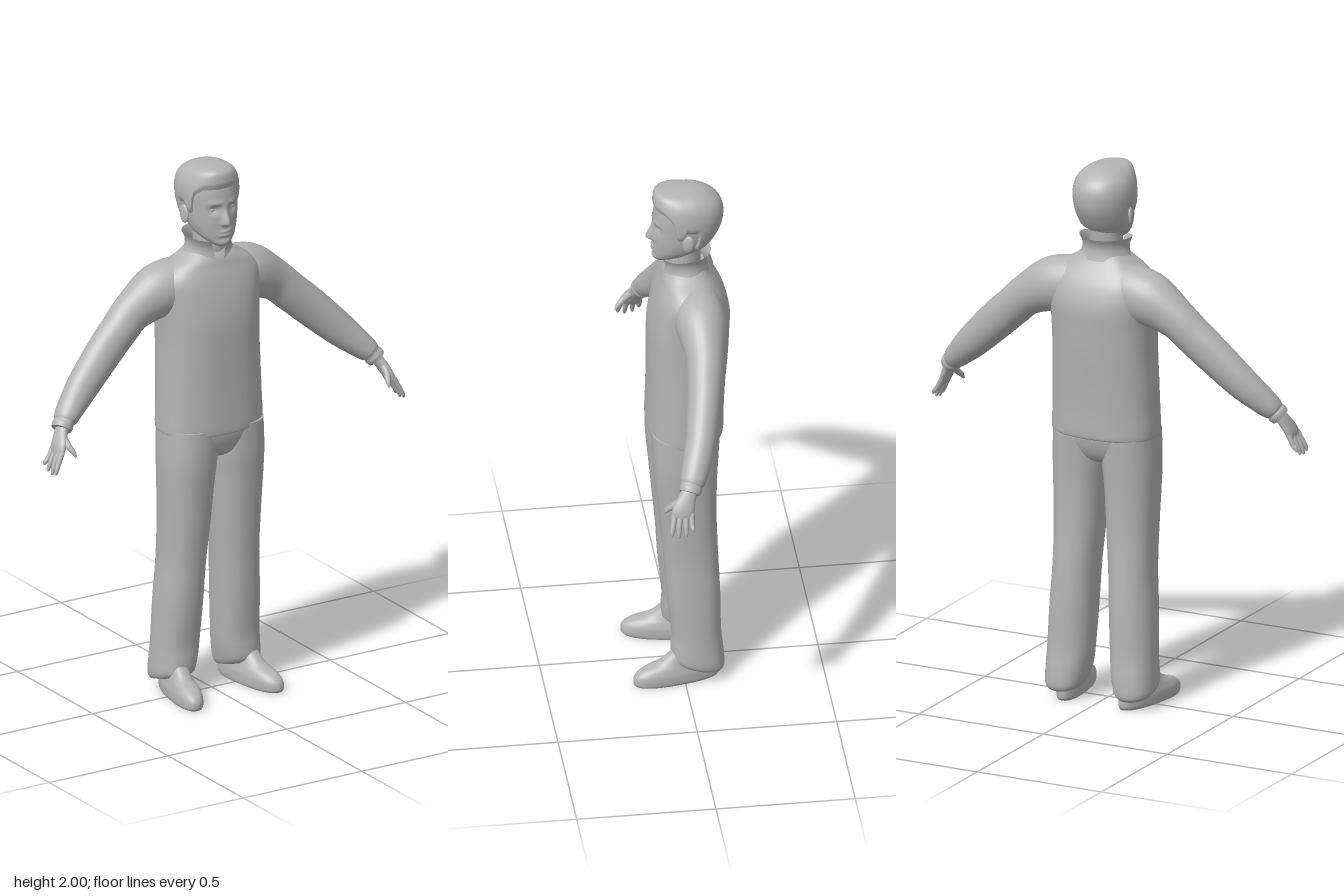
import * as THREE from 'three';

const TAU = Math.PI * 2;
const V3 = (x, y, z) => new THREE.Vector3(x, y, z);

// Smooth interpolation through rows of numbers, t in row units
function sample(rows, t) {
  const n = rows.length - 1, i = Math.min(Math.max(Math.floor(t), 0), n - 1), f = t - i;
  const at = k => rows[Math.min(Math.max(k, 0), n)];
  const [a, b, c, d] = [at(i - 1), at(i), at(i + 1), at(i + 2)];
  return b.map((v, k) => v + 0.5 * f * (c[k] - a[k] + f * (2 * a[k] - 5 * v + 4 * c[k] - d[k]
    + f * (3 * (v - c[k]) + d[k] - a[k]))));
}

// Skin over a grid of points; u runs around, v runs along
function skin(nu, nv, point, { closed = true, caps = true } = {}) {
  const pos = [], index = [], cols = closed ? nu : nu + 1;
  for (let j = 0; j <= nv; j++)
    for (let i = 0; i < cols; i++) pos.push(...point(i / nu, j / nv).toArray());
  for (let j = 0; j < nv; j++)
    for (let i = 0; i < nu; i++) {
      const a = j * cols + i, b = j * cols + (i + 1) % cols, c = b + cols, d = a + cols;
      index.push(a, b, c, a, c, d);
    }
  if (closed && caps) for (const end of [0, nv]) {
    const start = pos.length / 3, mid = V3(0, 0, 0);
    for (let i = 0; i < nu; i++) {
      const p = point(i / nu, end / nv);
      mid.addScaledVector(p, 1 / nu);
      pos.push(...p.toArray());
    }
    pos.push(...mid.toArray());
    for (let i = 0; i < nu; i++) {
      const a = start + i, b = start + (i + 1) % nu;
      index.push(start + nu, ...(end ? [a, b] : [b, a]));
    }
  }
  const g = new THREE.BufferGeometry();
  g.setAttribute('position', new THREE.Float32BufferAttribute(pos, 3));
  g.setIndex(index);
  g.computeVertexNormals();
  return g;
}

const power = (v, e) => Math.sign(v) * Math.abs(v) ** e;

// Upright body: rows of [y, left x, right x, front z, back z], lowest first
function upright(rows, e = 0.9, bend = p => p, nu = 40) {
  const n = rows.length - 1;
  return skin(nu, n * 5, (u, v) => {
    const [y, x0, x1, zf, zb] = sample(rows, v * n), a = u * TAU;
    return bend(V3((x0 + x1) / 2 + (x1 - x0) / 2 * power(Math.sin(a), e), y,
      (zf + zb) / 2 + (zf - zb) / 2 * power(Math.cos(a), e)));
  });
}

// Limb along a path: rows of [x, y, z, thickness radius, z radius]
function limb(rows, side, nu = 24) {
  const r = rows.map(([x, ...rest]) => [x * side, ...rest]), n = r.length - 1;
  const centre = t => V3(...sample(r, t).slice(0, 3));
  return skin(nu, n * 5, (u, v) => {
    const t = v * n, s = sample(r, t), a = u * TAU;
    const dir = centre(Math.min(t + 0.05, n)).sub(centre(Math.max(t - 0.05, 0))).normalize();
    const wide = V3(0, 0, 1).addScaledVector(dir, -dir.z).normalize();
    const thick = wide.clone().cross(dir);
    return centre(t).addScaledVector(thick, s[3] * Math.cos(a)).addScaledVector(wide, s[4] * Math.sin(a));
  });
}

// Head rows: [y, half width, front z, back z]
const HEAD = [[1.70, 0.03, 0.07, -0.045], [1.71, 0.045, 0.088, -0.05], [1.73, 0.062, 0.094, -0.06],
  [1.76, 0.078, 0.094, -0.085], [1.80, 0.09, 0.094, -0.115], [1.85, 0.097, 0.093, -0.142],
  [1.90, 0.1, 0.091, -0.15], [1.94, 0.093, 0.082, -0.138], [1.967, 0.074, 0.062, -0.107],
  [1.981, 0.046, 0.026, -0.07], [1.985, 0.001, -0.024, -0.026]];
const bump = (d, s) => Math.exp(-d * d / (s * s));

function headPoint(a, t) {
  let [y, rx, zf, zb] = sample(HEAD, t);
  const c = Math.cos(a);
  if (t < 3) y += 0.045 * (1 - t / 3) * (0.5 - 0.5 * c);
  const x = rx * power(Math.sin(a), 0.93);
  let z = (zf + zb) / 2 + (zf - zb) / 2 * power(c, 0.93);
  if (c > 0) {
    const ax = Math.abs(x);
    const ridge = y > 1.797 ? bump(y - 1.797, 0.045) : bump(y - 1.797, 0.011);
    z += 0.026 * ridge * bump(x, 0.008 + 0.006 * ridge);                // nose
    z -= 0.011 * bump(ax - 0.037, 0.018) * bump(y - 1.847, 0.016);      // eye sockets
    z += 0.005 * bump(ax - 0.035, 0.03) * bump(y - 1.872, 0.01);        // brow
    z += 0.007 * bump(x, 0.024) * (bump(y - 1.765, 0.006) + bump(y - 1.751, 0.006)); // lips
    z -= 0.003 * bump(x, 0.03) * bump(y - 1.737, 0.006);
    z += 0.005 * bump(x, 0.025) * bump(y - 1.72, 0.012);                // chin
  }
  return V3(x, y, z);
}

// Hairline as [angle from the front, head row]
const HAIRLINE = [[0, 6.5], [0.75, 6.4], [1.1, 5.8], [1.25, 4.5], [1.42, 4.3], [1.5, 5],
  [1.85, 4.9], [2, 3.3], [3.2, 2.9]];
function hairPoint(a, v) {
  const w = Math.abs(a > Math.PI ? a - TAU : a);
  const k = Math.max(1, HAIRLINE.findIndex(h => h[0] >= w));
  const [p, q] = [HAIRLINE[k - 1], HAIRLINE[k]];
  const start = THREE.MathUtils.mapLinear(w, p[0], q[0], p[1], q[1]);
  const t = start + (10 - start) * v, point = headPoint(a, t);
  const lift = -0.003 + 0.013 * THREE.MathUtils.smoothstep(t - start, 0, 0.5);
  point.addScaledVector(point.clone().sub(V3(0, 1.85, -0.03)).normalize(), lift);
  // Swept-up fringe, higher on one side
  const sweep = bump(t - 8, 0.9) * Math.max(0, Math.cos(a)) * (0.75 - 0.25 * Math.sin(a));
  return point.add(V3(0, 0.017 * sweep, 0.02 * sweep));
}

export function createModel() {
  const model = new THREE.Group();
  const grey = new THREE.MeshStandardMaterial({ color: 0xb4b4b4, side: THREE.DoubleSide });
  grey.name = 'plain grey';
  const add = (name, geometry, parent = model) => {
    const mesh = new THREE.Mesh(geometry, grey);
    mesh.name = name;
    parent.add(mesh);
    return mesh;
  };
  const ball = (name, centre, size) => {
    const mesh = add(name, new THREE.SphereGeometry(1, 20, 14));
    mesh.position.copy(centre);
    mesh.scale.set(...size);
    return mesh;
  };
  const even = rows => rows.map(([y, r, f, b]) => [y, -r, r, f, b]);

  // Pullover body, hips and neck
  add('pullover', upright(even([[1.0, 0.196, 0.115, -0.148], [1.015, 0.2, 0.119, -0.155],
    [1.1, 0.197, 0.117, -0.157], [1.2, 0.194, 0.115, -0.162], [1.32, 0.19, 0.115, -0.172],
    [1.42, 0.192, 0.113, -0.177], [1.5, 0.198, 0.102, -0.178], [1.57, 0.2, 0.085, -0.158],
    [1.62, 0.165, 0.068, -0.128], [1.65, 0.118, 0.058, -0.108], [1.675, 0.085, 0.04, -0.095]]), 0.82));
  add('hips', upright(even([[0.885, 0.05, 0.02, -0.05], [0.91, 0.12, 0.075, -0.1],
    [0.95, 0.185, 0.1, -0.125], [1.0, 0.195, 0.112, -0.138], [1.04, 0.193, 0.11, -0.14]]), 0.85));
  add('neck', upright(even([[1.6, 0.066, 0.045, -0.085], [1.66, 0.06, 0.044, -0.08],
    [1.72, 0.058, 0.04, -0.078], [1.78, 0.06, 0.03, -0.085]]), 1));

  // Stand-up collar, open at the front
  add('collar', skin(48, 8, (u, v) => {
    const a = 0.12 + 0.3 * v + u * (TAU - 0.24 - 0.6 * v), c = Math.cos(a);
    const r = 0.1 - 0.022 * Math.sin(v * Math.PI * 0.75) + 0.012 * v;
    const low = 1.655 - 0.02 * Math.max(0, c), high = 1.735 - 0.015 * Math.max(0, c);
    return V3(r * Math.sin(a), low + (high - low) * v, -0.022 + (0.086 + 0.01 * v) * c * r / 0.1);
  }, { closed: false }));

  // Head, hair and features
  add('head', skin(120, 100, (u, v) => headPoint(u * TAU, v * 10)));
  add('hair', skin(96, 30, (u, v) => hairPoint(u * TAU, v), { caps: false }));
  for (const side of [1, -1]) {
    ball('eye', headPoint(side * 0.385, 4.94).add(V3(0, 0, -0.004)), [0.014, 0.006, 0.007]);
    const ear = ball('ear', V3(side * 0.1, 1.815, -0.022), [0.009, 0.034, 0.02]);
    ear.rotation.set(-0.15, side * -0.3, 0);
  }

  for (const side of [1, -1]) {
    const word = side > 0 ? 'left' : 'right';

    // Sleeve with a gathered cuff
    add(word + 'Sleeve', limb([[0.09, 1.545, -0.05, 0.1, 0.09], [0.19, 1.53, -0.055, 0.1, 0.092],
      [0.295, 1.475, -0.055, 0.076, 0.07], [0.36, 1.418, -0.046, 0.071, 0.064],
      [0.425, 1.36, -0.034, 0.07, 0.06], [0.535, 1.257, -0.007, 0.062, 0.055],
      [0.605, 1.193, 0.02, 0.05, 0.05], [0.637, 1.163, 0.035, 0.042, 0.045],
      [0.646, 1.153, 0.04, 0.035, 0.039], [0.655, 1.143, 0.044, 0.038, 0.041],
      [0.664, 1.132, 0.049, 0.035, 0.038]], side, 32));

    // Hand with four fingers and a thumb
    const hand = new THREE.Group();
    hand.name = word + 'Hand';
    model.add(hand);
    add('palm', limb([[0.645, 1.16, 0.042, 0.02, 0.028], [0.668, 1.125, 0.055, 0.02, 0.03],
      [0.692, 1.08, 0.075, 0.017, 0.04], [0.703, 1.052, 0.079, 0.011, 0.038]], side), hand);
    [[-0.031, 0.022], [-0.011, 0.006], [0.011, 0], [0.031, 0.006]].forEach(([o, short]) =>
      add('finger', limb([[0.698, 1.068, 0.078 + o, 0.01, 0.011],
        [0.717, 1.032, 0.081 + o * 1.1, 0.0095, 0.0095],
        [0.728, 1.005 + short * 0.7, 0.083 + o * 1.2, 0.008, 0.008],
        [0.733, 0.987 + short, 0.083 + o * 1.25, 0.004, 0.004]], side, 12), hand));
    add('thumb', limb([[0.672, 1.12, 0.068, 0.013, 0.015], [0.672, 1.092, 0.103, 0.012, 0.013],
      [0.664, 1.07, 0.127, 0.01, 0.01], [0.659, 1.052, 0.14, 0.004, 0.004]], side, 12), hand);

    // Trouser leg, its hem dropping towards the heel
    const mirror = ([y, inner, outer, f, b]) =>
      side > 0 ? [y, inner, outer, f, b] : [y, -outer, -inner, f, b];
    add(word + 'TrouserLeg', upright([[0.055, 0.073, 0.205, 0.03, -0.135],
      [0.075, 0.062, 0.213, 0.045, -0.145], [0.13, 0.05, 0.212, 0.046, -0.142],
      [0.2, 0.043, 0.209, 0.045, -0.134], [0.35, 0.036, 0.203, 0.06, -0.132],
      [0.5, 0.03, 0.194, 0.07, -0.126], [0.65, 0.018, 0.194, 0.084, -0.121],
      [0.8, 0.008, 0.198, 0.098, -0.122], [0.9, -0.003, 0.2, 0.107, -0.127],
      [1.02, -0.01, 0.196, 0.11, -0.135]].map(mirror), 0.88, p => {
      if (p.y < 0.2) p.y += 0.35 * (p.z + 0.06) * (1 - p.y / 0.2);
      return p;
    }));

    // Shoe turned slightly outwards, wider at the toe
    const foot = (y, r, f, b) => [y, -r, r, f, b];
    add(word + 'Shoe', upright([foot(0, 0.046, 0.178, -0.122), foot(0.012, 0.05, 0.186, -0.13),
      foot(0.04, 0.05, 0.18, -0.13), foot(0.062, 0.045, 0.15, -0.126),
      foot(0.085, 0.04, 0.09, -0.12), foot(0.13, 0.036, 0.035, -0.11)], 0.85, p => {
      p.x = side * 0.143 + p.x * (1 + 0.4 * Math.min(p.z, 0.1)) + side * 0.16 * p.z;
      return p;
    }));
  }
  return model;
}
